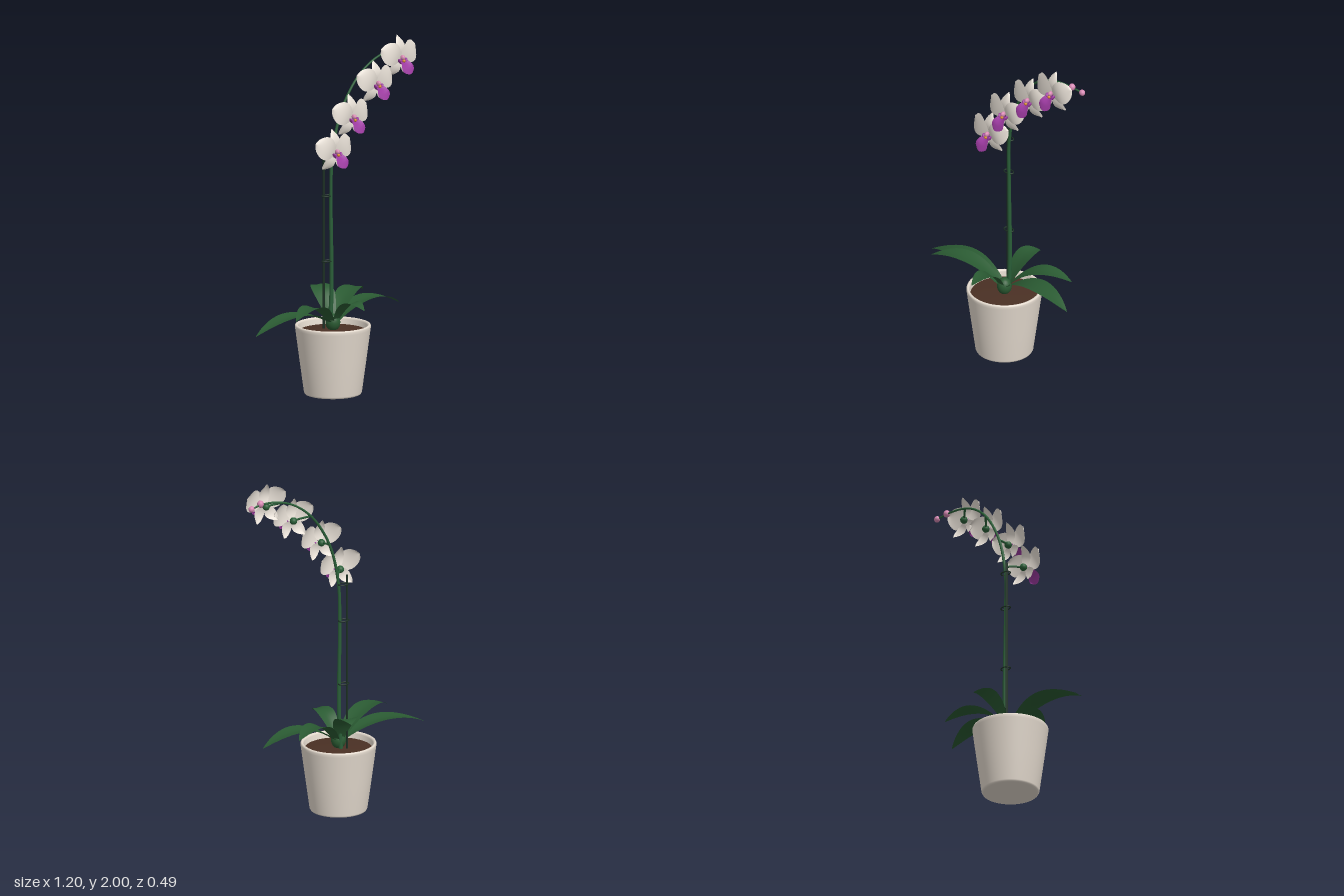
import * as THREE from 'three';

const mat = (name, color, side = THREE.FrontSide) => {
  const m = new THREE.MeshStandardMaterial({ color, side });
  m.name = name;
  return m;
};
const V = (x, y, z) => new THREE.Vector3(x, y, z);

export function createModel() {
  const M = {
    pot: mat('ceramic', 0xe6dcd0),
    soil: mat('bark', 0x4a3024),
    leaf: mat('leafGreen', 0x2a5a32, THREE.DoubleSide),
    stem: mat('stemGreen', 0x2a5f38),
    stake: mat('stakeGreen', 0x1c3024),
    petal: mat('petalWhite', 0xeee6dc, THREE.DoubleSide),
    lip: mat('lipPurple', 0x9c3aa0, THREE.DoubleSide),
    bud: mat('budPink', 0xd88ab4),
    throat: mat('throatOrange', 0xd89030),
  };
  const model = new THREE.Group();
  model.name = 'pottedOrchid';

  const add = (parent, name, geo, material, x = 0, y = 0, z = 0) => {
    const mesh = new THREE.Mesh(geo, material);
    mesh.name = name;
    mesh.position.set(x, y, z);
    parent.add(mesh);
    return mesh;
  };
  const ball = (r, sx = 1, sy = 1, sz = 1) => new THREE.SphereGeometry(r, 20, 14).scale(sx, sy, sz);

  // Curved sheet: f(t along 0..1, s across -1..1) gives each point
  const sheet = (f, across = 10, along = 18) => {
    const g = new THREE.PlaneGeometry(1, 1, across, along);
    const p = g.attributes.position;
    for (let i = 0; i < p.count; i++) {
      const q = f(p.getY(i) + 0.5, p.getX(i) * 2);
      p.setXYZ(i, q.x, q.y, q.z);
    }
    g.computeVertexNormals();
    return g;
  };

  // Tube that thins from radius r0 to r1
  const taperTube = (curve, n, r0, r1, sides = 10) => {
    const g = new THREE.TubeGeometry(curve, n, r0, sides, false);
    const p = g.attributes.position, q = new THREE.Vector3();
    for (let i = 0; i < p.count; i++) {
      const u = Math.floor(i / (sides + 1)) / n;
      const c = curve.getPointAt(u);
      q.fromBufferAttribute(p, i).sub(c).multiplyScalar(1 + (r1 / r0 - 1) * u).add(c);
      p.setXYZ(i, q.x, q.y, q.z);
    }
    return g;
  };

  // Pot and soil
  const CX = -0.016, CZ = -0.02;
  const potProfile = [[0, 0], [0.15, 0], [0.158, 0.003], [0.163, 0.012], [0.19, 0.21], [0.212, 0.375],
    [0.214, 0.39], [0.211, 0.398], [0.205, 0.4], [0.198, 0.397], [0.195, 0.388], [0.188, 0.34]];
  add(model, 'pot', new THREE.LatheGeometry(potProfile.map(a => new THREE.Vector2(...a)), 56), M.pot, CX, 0, CZ);
  add(model, 'soil', new THREE.LatheGeometry(
    [[0.192, 0.36], [0.12, 0.368], [0, 0.372]].map(a => new THREE.Vector2(...a)), 40), M.soil, CX, 0, CZ);

  // Leaves: tip x, y, z, arch height, half width
  const leaves = new THREE.Group();
  leaves.name = 'leaves';
  model.add(leaves);
  add(leaves, 'crown', ball(0.042, 1, 1.2, 1), M.leaf, CX, 0.41, CZ);
  [
    [-0.60, 0.41, -0.03, 0.565, 0.062],
    [-0.445, 0.50, 0.135, 0.62, 0.056],
    [0.49, 0.45, -0.01, 0.60, 0.062],
    [0.36, 0.52, -0.18, 0.635, 0.058],
    [0.047, 0.575, -0.245, 0.64, 0.062],
    [-0.018, 0.515, 0.24, 0.61, 0.05],
  ].forEach(([x, y, z, arch, w]) => {
    const tip = V(x, y, z);
    const dir = V(x - CX, 0, z - CZ).normalize();
    const base = V(CX, 0.405, CZ).addScaledVector(dir, 0.015);
    const ctrl = base.clone().lerp(tip, 0.48).setY(arch);
    const curve = new THREE.QuadraticBezierCurve3(base, ctrl, tip);
    const side = dir.clone().cross(V(0, 1, 0));
    add(leaves, 'leaf', sheet((t, s) => {
      const half = w * (0.35 * (1 - t) ** 2 + Math.sin(Math.PI * t ** 1.1) ** 0.85);
      const p = curve.getPoint(t).addScaledVector(side, half * s);
      p.y += 0.22 * half * Math.abs(s) ** 1.5 * (1 - 0.6 * t);
      return p;
    }, 8, 24), M.leaf);
  });

  // Flower stem
  const stemCurve = new THREE.CatmullRomCurve3([
    V(-0.012, 0.36, -0.05), V(0, 0.6, -0.048), V(-0.006, 1.1, -0.047), V(-0.002, 1.33, -0.043),
    V(0.04, 1.54, -0.04), V(0.105, 1.68, -0.037), V(0.19, 1.79, -0.032), V(0.3, 1.868, -0.027),
    V(0.41, 1.902, -0.025), V(0.51, 1.908, -0.027), V(0.58, 1.898, -0.037)]);
  add(model, 'flowerStem', taperTube(stemCurve, 90, 0.013, 0.005), M.stem);

  // Support stake and its clips
  add(model, 'stake', new THREE.CylinderGeometry(0.0065, 0.0065, 1.04, 10), M.stake, -0.04, 0.88, -0.07);
  [0.755, 1.13, 1.345].forEach(y => {
    const clip = new THREE.TorusGeometry(0.03, 0.004, 8, 28).rotateX(Math.PI / 2).scale(1.05, 1, 0.7);
    add(model, 'stakeClip', clip, M.stake, -0.023, y, -0.062);
  });

  // Buds at the stem end
  add(model, 'bud', ball(0.019, 1, 1.1, 1), M.bud, 0.515, 1.912, -0.025);
  add(model, 'budTip', ball(0.0165, 1.1, 1.1, 1), M.bud, 0.583, 1.898, -0.037);

  // Flat petal growing outward at an angle from straight up
  const petal = (angle, length, w, peak, round, z) => sheet((t, s) => {
    const half = w * Math.max(0, Math.sin(Math.PI * Math.min(1, t ** peak))) ** round;
    return V(half * s, length * t, z + 0.016 * Math.sin(Math.PI * t) - 0.018 * t * t - 0.008 * s * s * t);
  }).rotateZ(-angle);

  const lipPath = new THREE.CatmullRomCurve3([
    V(0, 0, 0.055), V(0, -0.016, 0.085), V(0, -0.036, 0.112), V(0, -0.058, 0.124), V(0, -0.075, 0.131)]);
  const geo = {
    topSepal: petal(0, 0.135, 0.036, 0.9, 0.8, 0.046),
    sepals: [-1, 1].map(k => petal(k * 2.45, 0.113, 0.034, 1.05, 0.75, 0.044)),
    petals: [-1, 1].map(k => petal(k * 1.08, 0.146, 0.066, 1.2, 0.58, 0.053)),
    lip: sheet((t, s) => {
      const p = lipPath.getPoint(1 - t);
      const half = 0.012 + 0.032 * Math.sin(Math.PI * Math.min(1, (1 - t) * 0.72)) ** 1.3;
      p.x = half * s;
      p.z -= 0.012 * s * s * (1 - t);
      p.y += 0.012 * s * s;
      return p;
    }, 10, 14),
    lobe: ball(0.018, 0.45, 0.95, 0.8),
    column: ball(0.0135, 0.9, 1.1, 1.2),
    throat: ball(0.009),
    core: ball(0.021),
  };

  // Flowers: centre x, y and the point where the stalk leaves the stem
  [
    [-0.065, 1.398, 0.004, 1.40, -0.042],
    [0.063, 1.58, 0.056, 1.585, -0.039],
    [0.252, 1.745, 0.178, 1.778, -0.033],
    [0.437, 1.865, 0.36, 1.89, -0.026],
  ].forEach(([x, y, sx, sy, sz]) => {
    const flower = new THREE.Group();
    flower.name = 'flower';
    flower.position.set(x, y, 0);
    model.add(flower);
    const start = V(sx - x, sy - y, sz), end = V(0, 0, 0.035);
    const mid = start.clone().lerp(end, 0.5).add(V(0, 0.006, 0));
    add(flower, 'flowerStalk', new THREE.TubeGeometry(
      new THREE.QuadraticBezierCurve3(start, mid, end), 10, 0.006, 8), M.stem);
    add(flower, 'flowerBase', geo.core, M.stem, 0, 0, 0.034);
    add(flower, 'topSepal', geo.topSepal, M.petal);
    geo.sepals.forEach(g => add(flower, 'lowerSepal', g, M.petal));
    geo.petals.forEach(g => add(flower, 'petal', g, M.petal));
    add(flower, 'lip', geo.lip, M.lip);
    [-1, 1].forEach(k => add(flower, 'lipLobe', geo.lobe, M.lip, k * 0.02, -0.008, 0.07).rotation.z = -k * 0.5);
    add(flower, 'column', geo.column, M.bud, 0, 0.011, 0.07);
    add(flower, 'throat', geo.throat, M.throat, 0, -0.006, 0.08);
  });

  return model;
}
